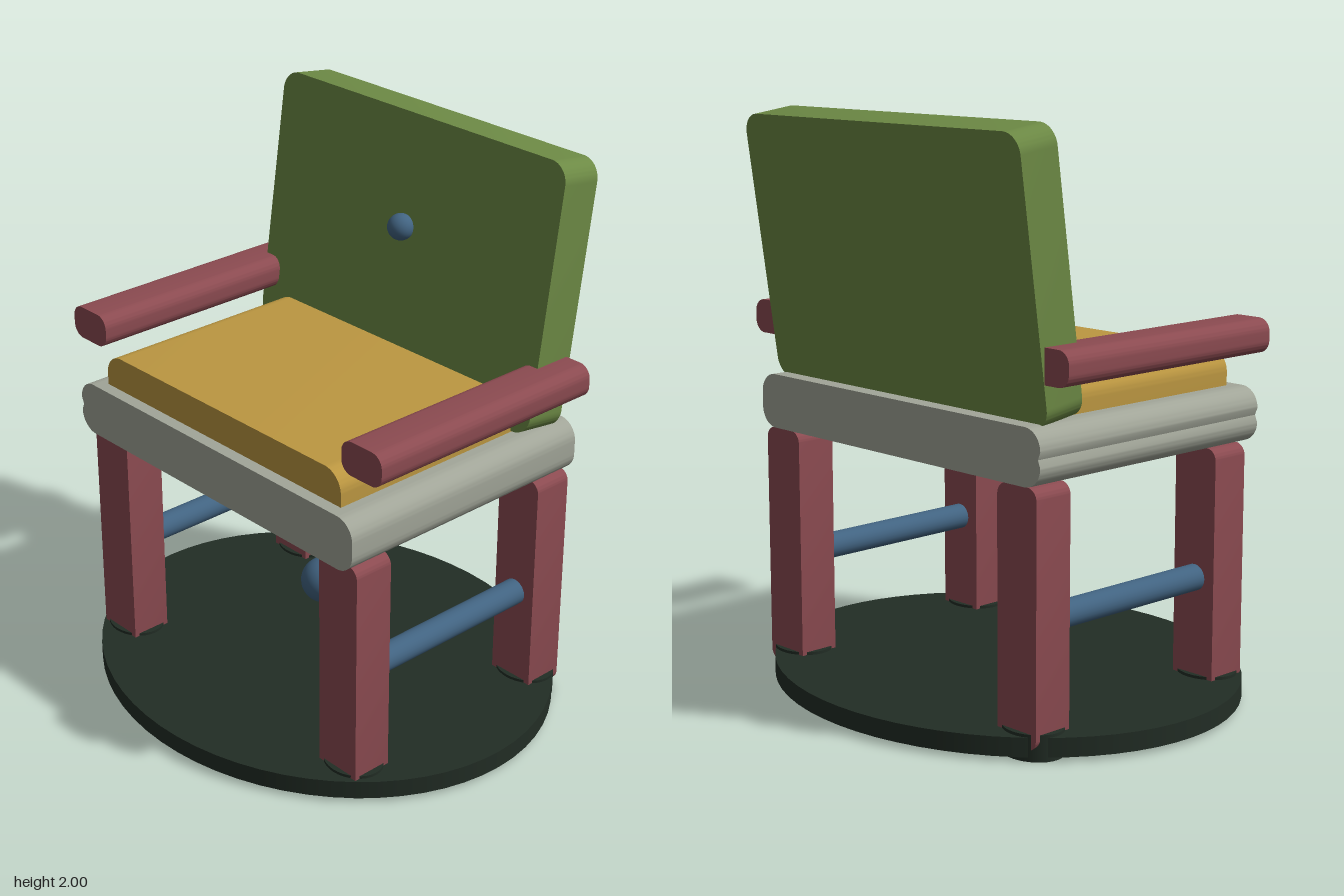
import * as THREE from 'three';
import { toCreasedNormals } from 'three/addons/utils/BufferGeometryUtils.js';

const material = (name, color) => {
  const m = new THREE.MeshStandardMaterial({ color });
  m.name = name;
  return m;
};

// Rounded rectangle in x/y, extruded along z and centred; dent notches the -x side
function roundedSlab(w, h, d, r, dent = 0) {
  const x = w / 2, y = h / 2, s = new THREE.Shape();
  s.moveTo(-x + r, -y);
  s.lineTo(x - r, -y);
  s.absarc(x - r, -y + r, r, -Math.PI / 2, 0);
  s.lineTo(x, y - r);
  s.absarc(x - r, y - r, r, 0, Math.PI / 2);
  s.lineTo(-x + r, y);
  s.absarc(-x + r, y - r, r, Math.PI / 2, Math.PI);
  if (dent) s.lineTo(-x + dent, 0);
  s.lineTo(-x, -y + r);
  s.absarc(-x + r, -y + r, r, Math.PI, Math.PI * 1.5);
  const g = new THREE.ExtrudeGeometry(s, { depth: d, bevelEnabled: false, curveSegments: 8 });
  g.translate(0, 0, -d / 2);
  return toCreasedNormals(g, 0.5);
}

export function createModel() {
  const group = new THREE.Group();
  const green = material('green fabric', 0x6d8a45);
  const ochre = material('ochre cushion', 0xbc9741);
  const red = material('red wood', 0x8c4b51);
  const grey = material('grey seat', 0xa2a699);
  const blue = material('blue metal', 0x426482);
  const dark = material('dark base', 0x222d25);

  const add = (name, geometry, mat, x, y, z) => {
    const mesh = new THREE.Mesh(geometry, mat);
    mesh.name = name;
    mesh.position.set(x, y, z);
    group.add(mesh);
    return mesh;
  };

  // Oval floor plate
  const base = new THREE.CylinderGeometry(1, 1, 0.065, 64);
  base.scale(0.88, 1, 0.755);
  add('basePlate', base, dark, 0, 0.0475, 0);

  // Legs with oval feet
  const foot = new THREE.CylinderGeometry(1, 1, 0.09, 32);
  foot.scale(0.11, 1, 0.093);
  const leg = roundedSlab(0.176, 0.85, 0.148, 0.04);
  for (const side of [-1, 1]) {
    for (const [end, z] of [['front', 0.401], ['back', -0.433]]) {
      add(end + 'Leg', leg, red, side * 0.588, 0.46, z);
      add(end + 'Foot', foot, dark, side * 0.588, 0.045, z);
    }
    // Side stretcher between front and back legs
    const bar = add('stretcher', new THREE.CylinderGeometry(0.046, 0.046, 0.76, 24), blue, side * 0.59, 0.43, -0.016);
    bar.rotation.x = Math.PI / 2;
    add('armrest', roundedSlab(0.18, 0.117, 0.94, 0.045), red, side * 0.686, 1.264, 0);
  }

  // Seat and cushion
  add('seat', roundedSlab(1.39, 0.19, 1.025, 0.07, 0.01), grey, 0, 0.98, 0.002);
  add('cushion', roundedSlab(1.19, 0.26, 0.85, 0.075), ochre, 0, 1.065, 0.045);

  // Backrest leaning backwards
  const back = add('backrest', roundedSlab(1.342, 0.93, 0.156, 0.07), green, 0, 1.529, -0.439);
  back.rotation.x = -0.1425;

  // Knobs
  add('backButton', new THREE.SphereGeometry(0.047, 24, 16), blue, 0, 1.615, -0.354);
  add('sideKnob', new THREE.SphereGeometry(0.075, 32, 20), blue, 0.436, 0.715, 0.396);

  return group;
}
